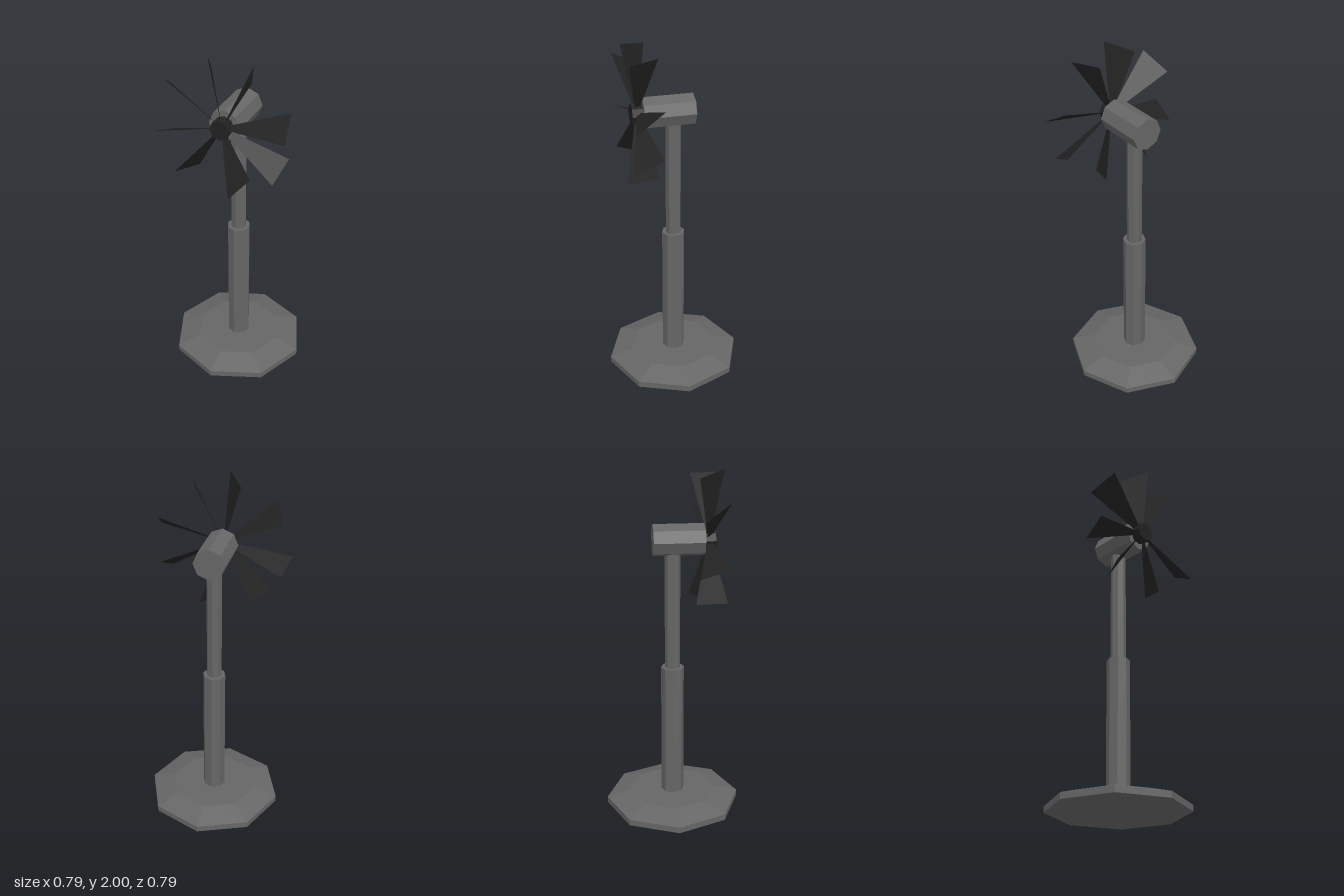
import * as THREE from 'three';

export function createModel() {
  const model = new THREE.Group();
  model.name = 'windTurbine';

  const steel = new THREE.MeshStandardMaterial({ name: 'grey steel', color: 0x666666, flatShading: true });
  const black = new THREE.MeshStandardMaterial({
    name: 'black metal', color: 0x222222, flatShading: true, side: THREE.DoubleSide,
  });

  // Eight-sided prism between two heights, standing on y or lying along z
  function prism(name, rTop, rBottom, from, to, material, parent = model) {
    const geometry = new THREE.CylinderGeometry(rTop, rBottom, to - from, 8);
    geometry.translate(0, (from + to) / 2, 0);
    const mesh = new THREE.Mesh(geometry, material);
    mesh.name = name;
    parent.add(mesh);
    return mesh;
  }

  // Base: profile of rim and sloping top
  const profile = [[0, 0], [0.394, 0], [0.394, 0.036], [0.255, 0.078], [0, 0.078]];
  const base = new THREE.Mesh(
    new THREE.LatheGeometry(profile.map(([r, y]) => new THREE.Vector2(r, y)), 8), steel);
  base.name = 'base';
  model.add(base);

  // Two-stage mast
  prism('lowerMast', 0.066, 0.066, 0.078, 0.868, steel);
  prism('upperMast', 0.044, 0.044, 0.868, 1.56, steel);

  // Head: housing and hub lie along z
  const axisY = 1.615;
  const head = new THREE.Group();
  head.name = 'head';
  head.position.y = axisY;
  model.add(head);
  prism('housing', 0.09, 0.09, -0.11, 0.175, steel, head).rotation.x = Math.PI / 2;
  prism('hub', 0.057, 0.057, 0.175, 0.235, black, head).rotation.x = Math.PI / 2;

  // Blades: rear and front tip corners, slightly uneven around the hub
  const tips = [
    [-0.11, 1.967, 0.135, -0.016, 2.0, 0.28],
    [0.137, 1.957, 0.112, 0.2, 1.947, 0.276],
    [0.353, 1.75, 0.127, 0.386, 1.652, 0.284],
    [0.35, 1.48, 0.13, 0.324, 1.4, 0.285],
    [0.116, 1.268, 0.105, 0.064, 1.23, 0.272],
    [-0.185, 1.295, 0.11, -0.254, 1.32, 0.272],
    [-0.345, 1.482, 0.11, -0.381, 1.54, 0.275],
    [-0.34, 1.78, 0.135, -0.286, 1.87, 0.28],
  ];
  const rotor = new THREE.Group();
  rotor.name = 'rotor';
  model.add(rotor);
  const centre = new THREE.Vector3(0, axisY, 0.202);
  tips.forEach((t, i) => {
    const rear = new THREE.Vector3(t[0], t[1], t[2]);
    const front = new THREE.Vector3(t[3], t[4], t[5]);
    const middle = rear.clone().add(front).multiplyScalar(0.5);
    const root = centre.clone().lerp(middle, 0.12);
    const half = front.clone().sub(rear).multiplyScalar(0.09);
    const corners = [root.clone().sub(half), root.clone().add(half), front, rear];
    const geometry = new THREE.BufferGeometry().setFromPoints(corners);
    geometry.setIndex([0, 1, 2, 0, 2, 3]);
    geometry.computeVertexNormals();
    const blade = new THREE.Mesh(geometry, black);
    blade.name = `blade${i + 1}`;
    rotor.add(blade);
  });

  return model;
}
